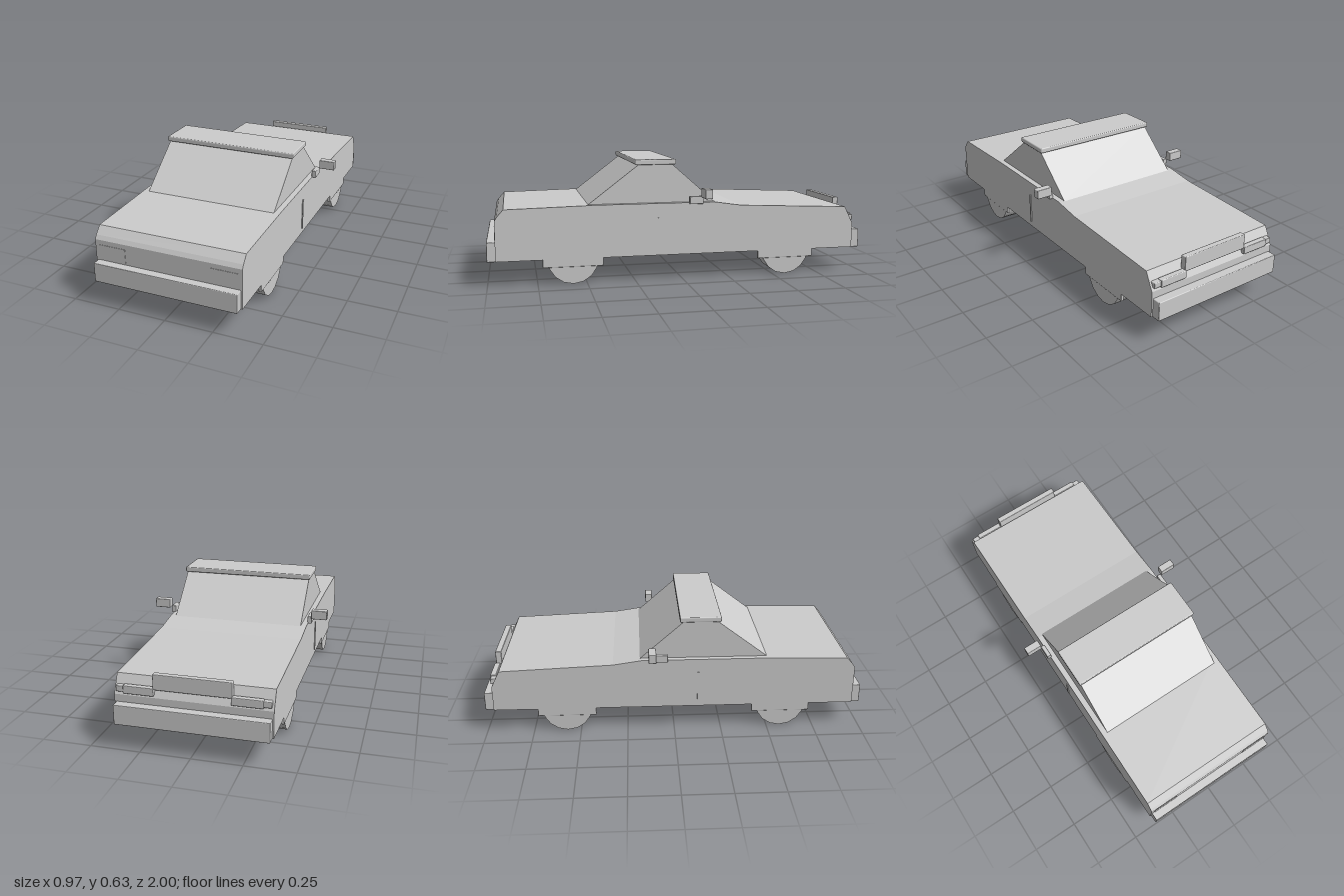
import * as THREE from 'three';
import { RoundedBoxGeometry } from 'three/addons/geometries/RoundedBoxGeometry.js';

export function createModel() {
  const car = new THREE.Group();
  car.name = 'car';
  const grey = new THREE.MeshStandardMaterial({ color: 0xcccccc });
  grey.name = 'light grey';

  const add = (name, geometry) => {
    const mesh = new THREE.Mesh(geometry, grey);
    mesh.name = name;
    car.add(mesh);
    return mesh;
  };

  // Box given by its limits on each axis, with slightly softened edges
  const box = (name, [x0, x1], [y0, y1], [z0, z1], radius = 0.004) => {
    const size = [x1 - x0, y1 - y0, z1 - z0];
    const geometry = radius ? new RoundedBoxGeometry(...size, 1, radius) : new THREE.BoxGeometry(...size);
    add(name, geometry).position.set((x0 + x1) / 2, (y0 + y1) / 2, (z0 + z1) / 2);
  };

  // Same box on both sides of the car
  const pair = (name, [x0, x1], y, z, radius) => {
    box(name + 'Left', [x0, x1], y, z, radius);
    box(name + 'Right', [-x1, -x0], y, z, radius);
  };

  // Side profile in (z, y), extruded across the car
  const profile = (name, points, width) => {
    const shape = new THREE.Shape(points.map(([z, y]) => new THREE.Vector2(z, y)));
    const geometry = new THREE.ExtrudeGeometry(shape, { depth: width, bevelEnabled: false });
    add(name, geometry.translate(0, 0, -width / 2).rotateY(-Math.PI / 2));
  };

  // Body and cabin
  profile('body', [
    [-0.955, 0.13], [0.957, 0.13], [0.957, 0.335], [0.945, 0.355], [0.912, 0.392], [0.45, 0.402],
    [-0.17, 0.402], [-0.32, 0.38], [-0.91, 0.355], [-0.955, 0.265],
  ], 0.764);
  profile('cabin', [[-0.18, 0.4], [0.49, 0.4], [0.225, 0.602], [0.05, 0.602]], 0.704);
  box('roof', [-0.36, 0.36], [0.6, 0.628], [0.03, 0.245], 0.006);

  // Bumpers
  box('frontBumper', [-0.374, 0.374], [0.128, 0.228], [0.95, 1]);
  box('rearBumper', [-0.374, 0.374], [0.128, 0.228], [-1, -0.95]);

  // End panels and lamps
  pair('frontLamp', [0.22, 0.36], [0.236, 0.31], [0.952, 0.959], 0);
  box('rearPanel', [-0.19, 0.19], [0.305, 0.383], [-0.957, -0.925]);
  pair('rearLamp', [0.185, 0.335], [0.275, 0.315], [-0.965, -0.935]);
  pair('rearCornerLamp', [0.33, 0.372], [0.28, 0.31], [-0.96, -0.93]);

  // Door seams
  pair('doorSeam', [0.378, 0.387], [0.16, 0.328], [0.122, 0.132], 0);

  // Mirrors
  pair('mirrorArm', [0.376, 0.4], [0.395, 0.436], [-0.108, -0.035]);
  pair('mirrorHead', [0.4, 0.485], [0.43, 0.479], [-0.136, -0.096]);

  // Wheels and their outer arch skirts
  for (const [end, z] of [['front', 0.57], ['rear', -0.57]]) {
    pair(end + 'ArchSkirt', [0.366, 0.382], [0.088, 0.14], [z - 0.155, z + 0.155]);
    for (const [side, s] of [['Left', 1], ['Right', -1]]) {
      const wheel = add(end + 'Wheel' + side, new THREE.CylinderGeometry(0.13, 0.13, 0.095, 16));
      wheel.rotation.z = Math.PI / 2;
      wheel.position.set(s * 0.331, 0.13, z);
    }
  }
  return car;
}
